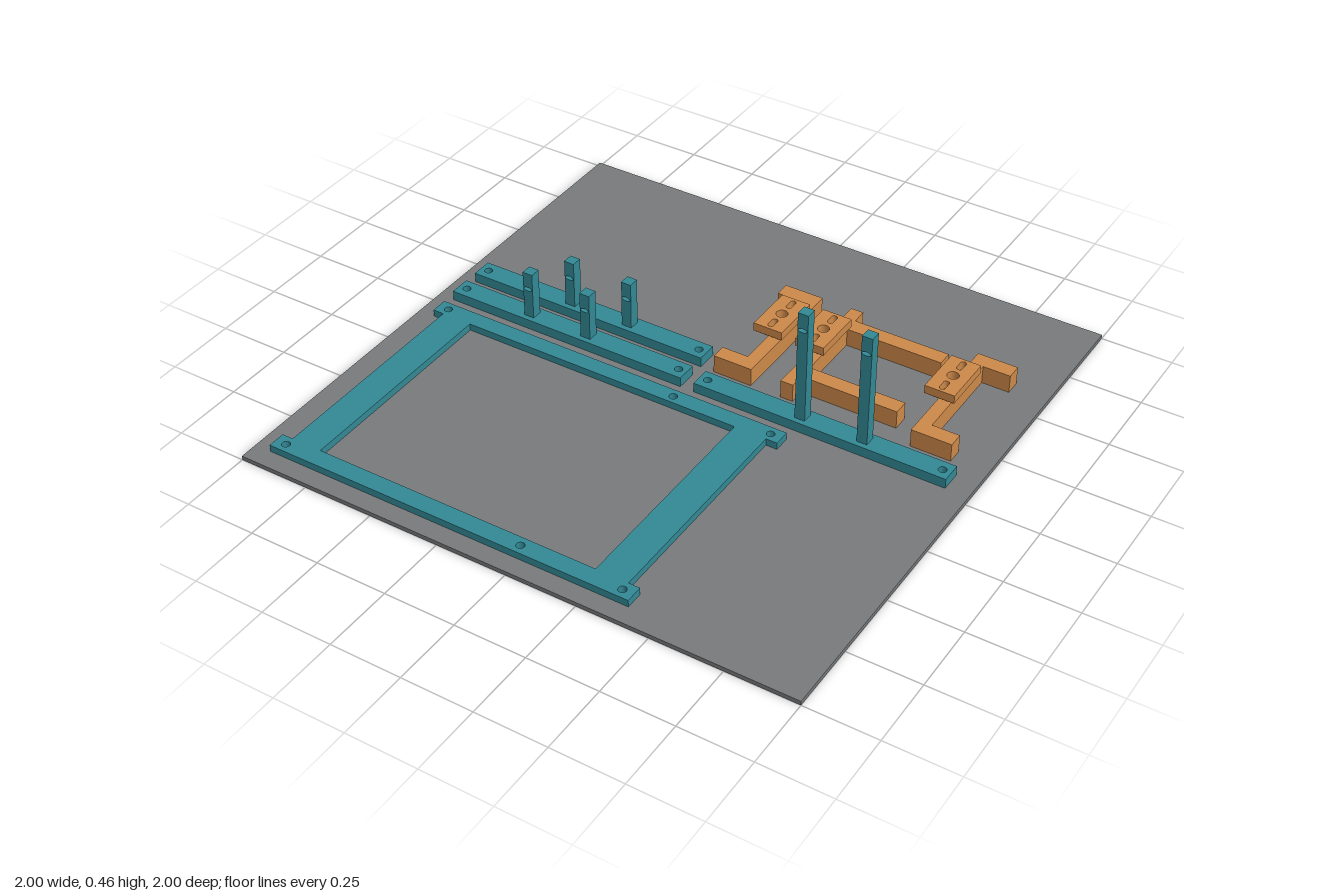
import * as THREE from 'three';

const grey = new THREE.MeshStandardMaterial({ color: 0x77797b });
grey.name = 'bed grey';
const teal = new THREE.MeshStandardMaterial({ color: 0x328894 });
teal.name = 'rail teal';
const orange = new THREE.MeshStandardMaterial({ color: 0xcc8849 });
orange.name = 'clip orange';

const BED = 0.015; // top of the bed

const polygon = (pts) => new THREE.Shape(pts.map(([x, y]) => new THREE.Vector2(x, y)));
const rect = (x0, y0, x1, y1) => polygon([[x0, y0], [x1, y0], [x1, y1], [x0, y1]]);

function addHole(shape, x, y, rx, ry = rx) {
  shape.holes.push(new THREE.Path().absellipse(x, y, rx, ry, 0, Math.PI * 2));
}

// Upright slab from a plan outline drawn in x and z
function slab(shape, y0, y1) {
  const g = new THREE.ExtrudeGeometry(shape, { depth: y1 - y0, bevelEnabled: false, curveSegments: 10 });
  return g.rotateX(Math.PI / 2).translate(0, y1, 0);
}

function add(parent, name, geometry, material) {
  const m = new THREE.Mesh(geometry, material);
  m.name = name;
  parent.add(m);
  return m;
}

// Flat rail with a screw hole at each end and two drilled posts
function makeRail(name, x0, z, postXs, top) {
  const rail = new THREE.Group();
  rail.name = name;
  const x1 = x0 + 0.905;
  const base = rect(x0, z - 0.0375, x1, z + 0.0375);
  for (const x of [x0 + 0.03, x1 - 0.03]) addHole(base, x, z, 0.014);
  add(rail, 'railBase', slab(base, BED, 0.05), teal);
  for (const x of postXs) {
    const post = rect(x - 0.0185, 0.05, x + 0.0185, top);
    addHole(post, x, top - 0.062, 0.016, 0.007);
    const g = new THREE.ExtrudeGeometry(post, { depth: 0.038, bevelEnabled: false, curveSegments: 10 });
    add(rail, 'post', g.translate(0, 0, z - 0.019), teal);
  }
  return rail;
}

// Rounded slot path along z
function slotPath(z0, z1, r) {
  const p = new THREE.Path();
  p.absarc(0, z1 - r, r, 0, Math.PI);
  p.absarc(0, z0 + r, r, Math.PI, Math.PI * 2);
  p.closePath();
  return p;
}

// Tapered head with a bolt hole and two tie slots
function makeHead() {
  const head = new THREE.Group();
  head.name = 'head';
  const cap = rect(-0.0525, -0.0925, 0.0525, 0.0925);
  addHole(cap, 0, 0, 0.02);
  cap.holes.push(slotPath(-0.082, -0.036, 0.01), slotPath(0.036, 0.082, 0.01));
  add(head, 'headCap', slab(cap, 0.12, 0.15), orange);

  const taper = rect(-0.0525, -0.0925, 0.0525, 0.0925);
  addHole(taper, 0, 0, 0.02);
  const g = slab(taper, 0.08, 0.12);
  const p = g.attributes.position;
  for (let i = 0; i < p.count; i++) {
    // pull in only the lower outer corners
    if (p.getY(i) < 0.1 && Math.abs(p.getX(i)) > 0.04) {
      p.setX(i, p.getX(i) * 0.5);
      p.setZ(i, p.getZ(i) * 0.5);
    }
  }
  g.computeVertexNormals();
  add(head, 'headTaper', g, orange);
  return head;
}

// Clip: a spine along z, two arms to one side and a head on top
function makeClip(name, x, armLength, side, armOffset) {
  const clip = new THREE.Group();
  clip.name = name;
  const h = 0.0225, end = 0.2325, a1 = armOffset, a0 = armOffset - 0.055;
  const e = h + armLength;
  const half = [[h, a0], [e, a0], [e, a1], [h, a1]];
  if (a1 < end) half.push([h, end]);
  const right = [...half.map(([px, z]) => [px, -z]).reverse(), ...half];
  const edge = a1 < end ? right : right.filter(([px, z]) => !(px === h && Math.abs(z) === a1));
  const outline = [...edge, [-h, end], [-h, -end]];
  const shape = polygon(outline.map(([px, z]) => [px * side, z]));
  addHole(shape, 0, 0, 0.0195);
  add(clip, 'clipBody', slab(shape, BED, 0.08), orange);
  clip.add(makeHead());
  clip.position.set(x, 0, -0.378);
  return clip;
}

export function createModel() {
  const model = new THREE.Group();
  model.name = 'printedPartsOnBed';

  add(model, 'bed', new THREE.BoxGeometry(2, BED, 2).translate(0, BED / 2, 0), grey);

  // Rectangular frame whose long bars overhang the uprights
  const frame = polygon([
    [-0.94, 0.03], [0.39, 0.03], [0.39, 0.09], [0.35, 0.09], [0.35, 0.872], [0.39, 0.872],
    [0.39, 0.935], [-0.94, 0.935], [-0.94, 0.872], [-0.9, 0.872], [-0.9, 0.09], [-0.94, 0.09],
  ]);
  frame.holes.push(rect(-0.79, 0.09, 0.235, 0.872));
  for (const x of [-0.9, -0.01, 0.35]) for (const z of [0.061, 0.904]) addHole(frame, x, z, 0.014);
  add(model, 'frame', slab(frame, BED, 0.04), teal);

  model.add(
    makeRail('backRail', -0.94, -0.183, [-0.56, -0.335], 0.222),
    makeRail('middleRail', -0.94, -0.058, [-0.64, -0.415], 0.222),
    makeRail('tallRail', 0.015, -0.058, [0.396, 0.618], 0.457),
    makeClip('shortClipRight', 0.132, 0.095, -1, 0.2325),
    makeClip('longClip', 0.287, 0.345, 1, 0.1775),
    makeClip('shortClipLeft', 0.755, 0.097, 1, 0.2325),
  );
  return model;
}
